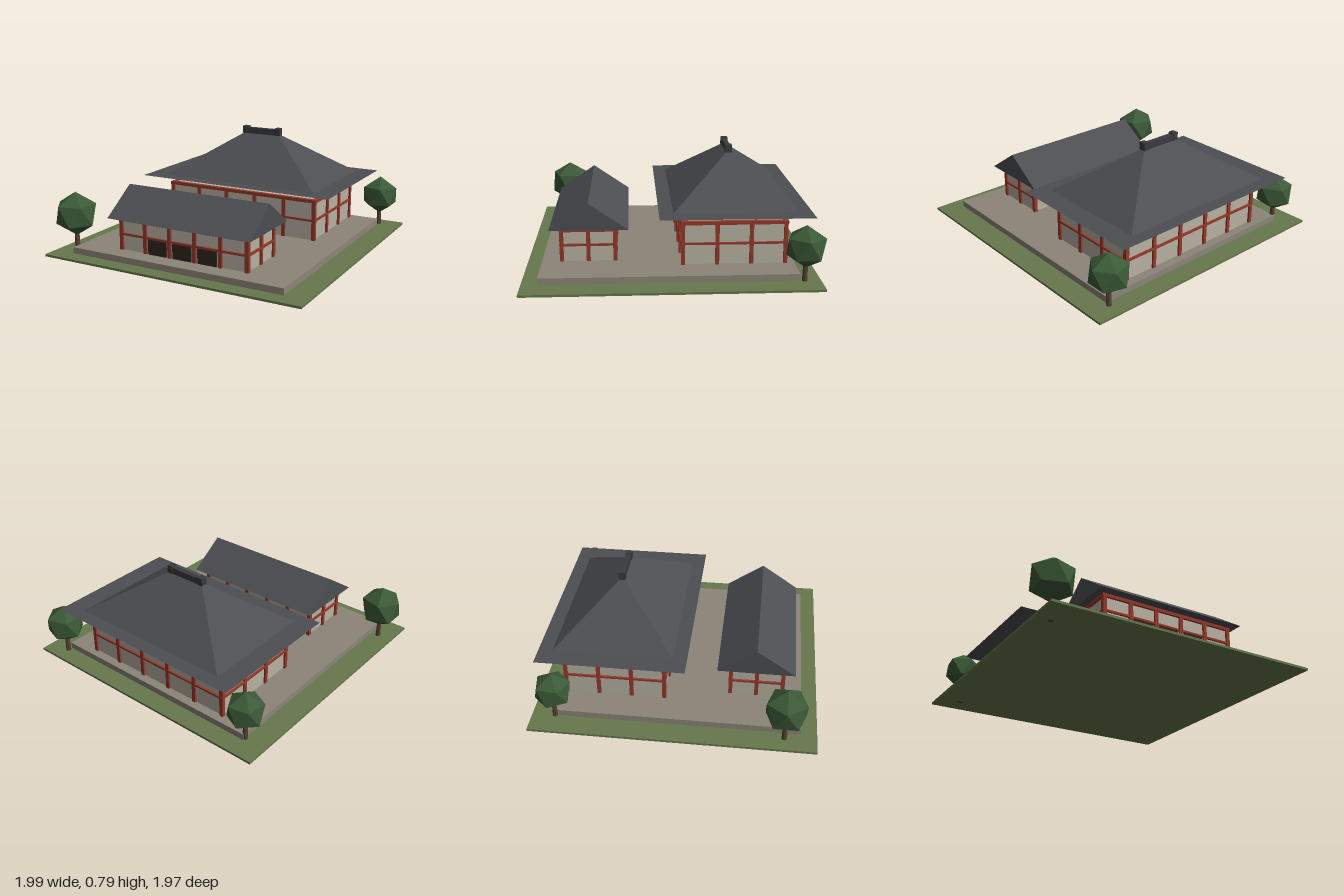
import * as THREE from 'three';

const paint = (color) => new THREE.MeshStandardMaterial({ color });
const grass = paint(0x66774c), stone = paint(0x8c8578), plaster = paint(0xb9b2a3), red = paint(0x94382a);
const tile = paint(0x4c4e52), darkTile = paint(0x3a3b3f), darkWood = paint(0x30261f), bark = paint(0x574030);
const leaf = paint(0x3b5a37);
leaf.flatShading = true;

function add(parent, name, geometry, material, x, y, z) {
  const mesh = new THREE.Mesh(geometry, material);
  mesh.name = name;
  mesh.position.set(x, y, z);
  parent.add(mesh);
  return mesh;
}

// Box given by its limits on each axis
function block(parent, name, material, [x0, x1], [y0, y1], [z0, z1]) {
  return add(parent, name, new THREE.BoxGeometry(x1 - x0, y1 - y0, z1 - z0), material,
    (x0 + x1) / 2, (y0 + y1) / 2, (z0 + z1) / 2);
}

// Box whose top rectangle differs from its bottom rectangle
function taperedBox(w0, d0, w1, d1, h) {
  const g = new THREE.BoxGeometry(1, h, 1);
  const p = g.attributes.position;
  for (let i = 0; i < p.count; i++) {
    const top = p.getY(i) > 0;
    p.setX(i, p.getX(i) * (top ? w1 : w0));
    p.setZ(i, p.getZ(i) * (top ? d1 : d0));
  }
  g.computeVertexNormals();
  return g;
}

// Plaster hall with posts all round and two rings of beams
function timberHall(name, [x0, x1], [z0, z1], top, midY, baysX, baysZ) {
  const hall = new THREE.Group();
  hall.name = name;
  const base = 0.065, r = 0.0135;
  block(hall, 'wall', plaster, [x0, x1], [base, top - 0.006], [z0, z1]);

  const postGeometry = new THREE.BoxGeometry(2 * r, top - base, 2 * r);
  const post = (x, z) => add(hall, 'post', postGeometry, red, x, (top + base) / 2, z);
  for (let i = 0; i <= baysX; i++) {
    const x = x0 + (x1 - x0) * i / baysX;
    post(x, z0);
    post(x, z1);
  }
  for (let i = 1; i < baysZ; i++) {
    const z = z0 + (z1 - z0) * i / baysZ;
    post(x0, z);
    post(x1, z);
  }

  const ring = (beam, y0, y1, t) => {
    for (const z of [z0, z1]) block(hall, beam, red, [x0 - t, x1 + t], [y0, y1], [z - t, z + t]);
    for (const x of [x0, x1]) block(hall, beam, red, [x - t, x + t], [y0, y1], [z0 - t, z1 + t]);
  };
  ring('topBeam', top - 0.022, top + 0.001, 0.016);
  ring('middleBeam', midY - 0.007, midY + 0.007, 0.0145);
  return hall;
}

function tree(x, z, y, radius, turn) {
  const group = new THREE.Group();
  group.name = 'tree';
  add(group, 'trunk', new THREE.CylinderGeometry(0.014, 0.019, y - 0.05, 8), bark, x, (y - 0.05) / 2, z);
  // Turned so that one corner points straight up
  const crown = new THREE.IcosahedronGeometry(radius, 0);
  crown.rotateZ(Math.atan(2 / (1 + Math.sqrt(5))));
  crown.rotateY(turn);
  add(group, 'crown', crown, leaf, x, y, z);
  return group;
}

export function createModel() {
  const model = new THREE.Group();
  model.name = 'templeCourtyard';
  const cx = 0.018, cz = -0.428;

  // Ground and stone terrace
  block(model, 'ground', grass, [-0.963, 0.998], [0.004, 0.02], [-0.972, 0.988]);
  block(model, 'terrace', stone, [-0.8, 0.833], [0.02, 0.065], [-0.835, 0.878]);

  // Main hall with flat eaves, hipped roof and ridge
  model.add(timberHall('mainHall', [-0.577, 0.613], [-0.772, -0.078], 0.366, 0.212, 5, 3));
  const roof = new THREE.Group();
  roof.name = 'mainRoof';
  add(roof, 'eaves', taperedBox(1.23, 0.84, 1.525, 1.025, 0.012), tile, cx, 0.422, cz);
  add(roof, 'hippedRoof', taperedBox(1.236, 0.835, 0.3, 0.03, 0.311), tile, cx, 0.5815, cz);
  block(roof, 'ridge', darkTile, [-0.138, 0.174], [0.735, 0.78], [cz - 0.018, cz + 0.018]);
  for (const side of [-1, 1]) {
    const x = cx + side * 0.136;
    block(roof, 'ridgeEnd', darkTile, [x - 0.02, x + 0.02], [0.735, 0.791], [cz - 0.024, cz + 0.024]);
  }
  model.add(roof);

  // Front hall with gable roof and dark door panels
  const frontHall = timberHall('frontHall', [-0.472, 0.51], [0.378, 0.742], 0.297, 0.181, 5, 2);
  for (const x of [-0.178, 0.018, 0.214]) {
    block(frontHall, 'doorPanel', darkWood, [x - 0.073, x + 0.073], [0.065, 0.17], [0.735, 0.752]);
  }
  add(frontHall, 'gableRoof', taperedBox(1.105, 0.536, 1.105, 0.001, 0.185), tile, cx, 0.3925, 0.554);
  model.add(frontHall);

  // Trees
  model.add(tree(-0.853, 0.768, 0.277, 0.159, 0));
  model.add(tree(-0.8, -0.81, 0.25, 0.138, 0.5));
  model.add(tree(0.836, -0.863, 0.256, 0.145, Math.PI));
  return model;
}
